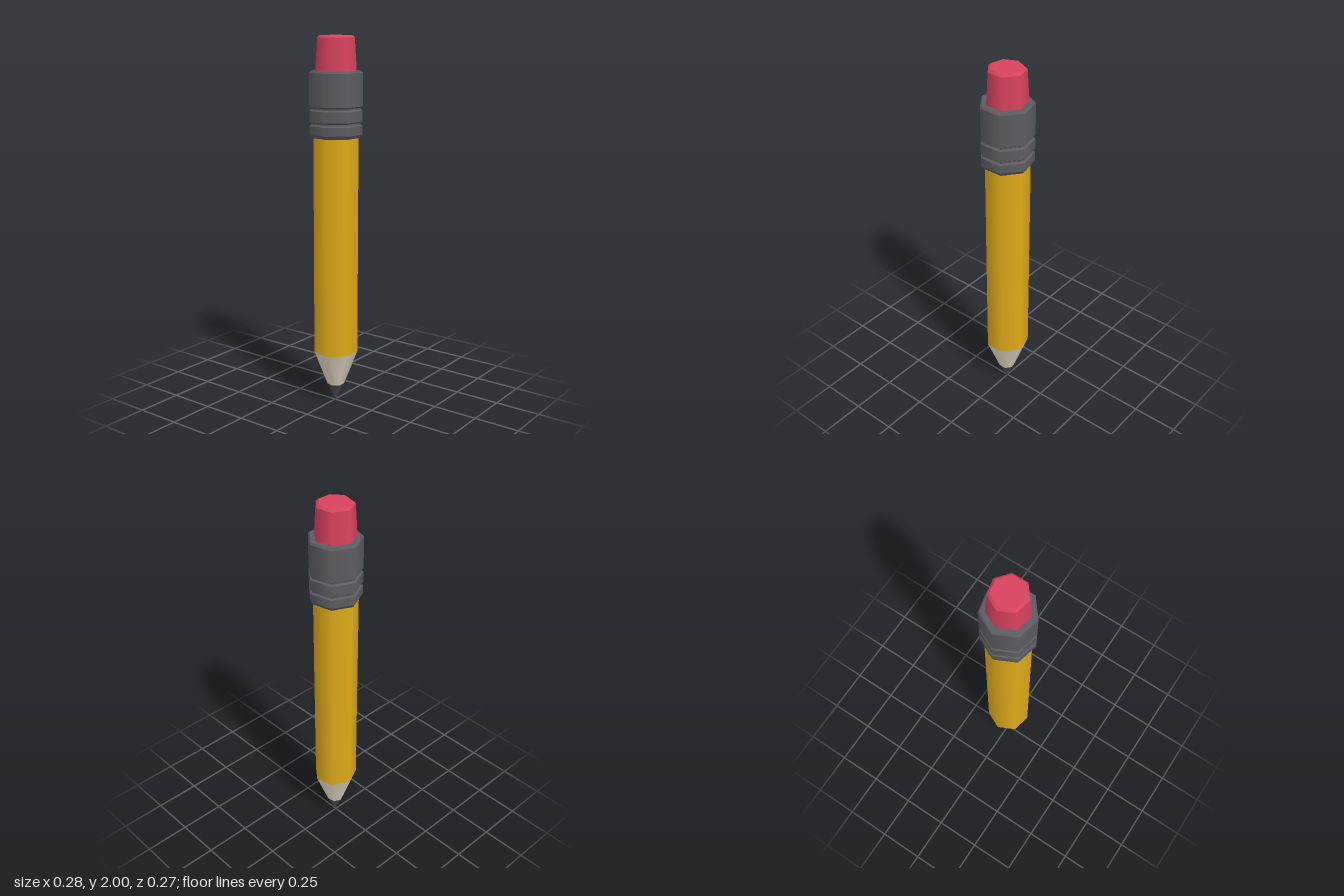
import * as THREE from 'three';
import { mergeGeometries } from 'three/addons/utils/BufferGeometryUtils.js';

const SIDES = 7;

// Seven-sided turned part: smooth around, sharp between profile steps.
// The profile is a list of [radius, height], running upwards on the outside.
function turned(name, color, profile) {
  const bands = [];
  for (let i = 0; i < profile.length - 1; i++) {
    const pair = [profile[i], profile[i + 1]].map(([r, y]) => new THREE.Vector2(r, y));
    bands.push(new THREE.LatheGeometry(pair, SIDES, Math.PI));
  }
  const mesh = new THREE.Mesh(
    mergeGeometries(bands),
    new THREE.MeshStandardMaterial({ color })
  );
  mesh.name = name;
  return mesh;
}

export function createModel() {
  const pencil = new THREE.Group();
  pencil.name = 'pencil';

  // Sharpened end
  pencil.add(turned('leadTip', 0x4c4c54, [[0, 0], [0.047, 0.1]]));
  pencil.add(turned('sharpenedWood', 0xe2d8c6, [[0.047, 0.1], [0.121, 0.295]]));

  // Painted shaft
  pencil.add(turned('shaft', 0xdfab18, [[0.121, 0.295], [0.121, 1.48]]));

  // Metal sleeve with two grooves and chamfered rims
  const R = 0.142;
  const profile = [[0.11, 1.475], [0.13, 1.475], [R, 1.493]];
  for (const y of [1.549, 1.627]) {
    profile.push([R, y - 0.011], [R - 0.01, y - 0.004], [R - 0.01, y + 0.004], [R, y + 0.011]);
  }
  profile.push([R, 1.81], [0.134, 1.82], [0.1, 1.82]);
  pencil.add(turned('ferrule', 0x5c5c62, profile));

  // Tapered rubber with a bevelled top
  pencil.add(turned('eraser', 0xd8425e, [[0.11, 1.81], [0.099, 1.988], [0.086, 2], [0, 2]]));

  // Centre the odd-sided outline in depth
  for (const part of pencil.children) part.position.z = 0.006;
  return pencil;
}
